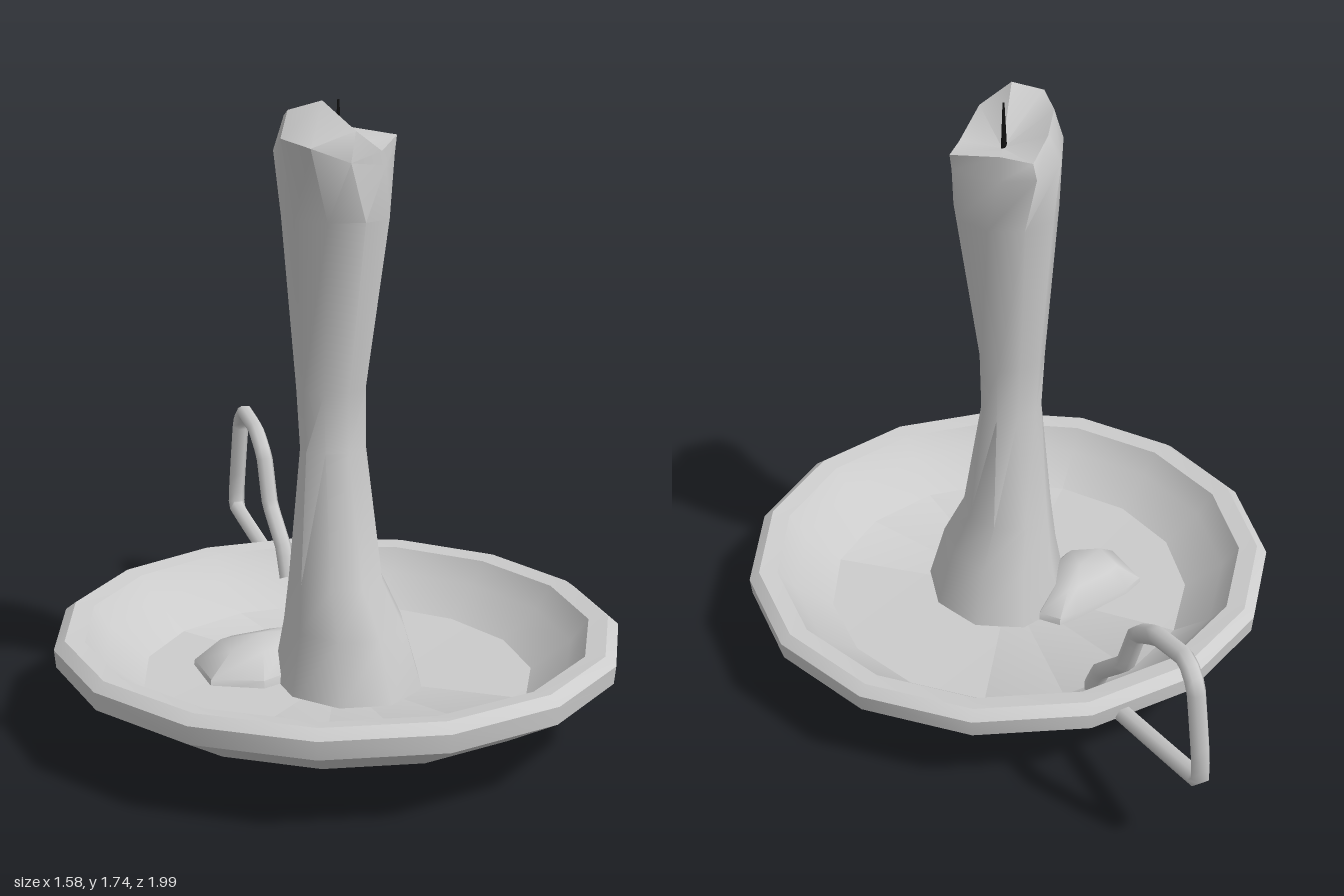
import * as THREE from 'three';
import { toCreasedNormals } from 'three/addons/utils/BufferGeometryUtils.js';

const grey = new THREE.MeshStandardMaterial({ color: 0xcccccc });
const black = new THREE.MeshStandardMaterial({ color: 0x111111 });
const CZ = 0.19; // centre of the dish along z

function add(group, name, geometry, material = grey) {
  const mesh = new THREE.Mesh(geometry, material);
  mesh.name = name;
  group.add(mesh);
  return mesh;
}

// Skin a stack of closed rings, each with the same number of [x, y, z] points
function loft(rings, crease) {
  const n = rings[0].length;
  const index = [];
  for (let i = 0; i < rings.length - 1; i++) {
    for (let j = 0; j < n; j++) {
      const a = i * n + j, b = i * n + (j + 1) % n;
      index.push(a, a + n, b, b, a + n, b + n);
    }
  }
  const geometry = new THREE.BufferGeometry();
  geometry.setAttribute('position', new THREE.Float32BufferAttribute(rings.flat(2), 3));
  geometry.setIndex(index);
  return toCreasedNormals(geometry, crease);
}

function ellipse(y, x0, x1, z0, z1, n) {
  return Array.from({ length: n }, (_, i) => {
    const a = (i / n) * Math.PI * 2;
    return [(x0 + x1) / 2 + Math.cos(a) * (x1 - x0) / 2, y, (z0 + z1) / 2 + Math.sin(a) * (z1 - z0) / 2];
  });
}

// Shallow dish with a rolled rim; its foot is longer front to back
function dishGeometry() {
  const profile = [
    [0, 0], [0.28, 0], [0.63, 0.115], [0.79, 0.21], [0.795, 0.26], [0.765, 0.283],
    [0.71, 0.275], [0.66, 0.21], [0.55, 0.13], [0, 0.11],
  ].map(([r, y]) => new THREE.Vector2(r, y));
  const geometry = new THREE.LatheGeometry(profile, 15);
  const p = geometry.attributes.position;
  for (let i = 0; i < p.count; i++) {
    const stretch = p.getY(i) < 0.01 ? 1.3 : 1.01;
    p.setZ(i, p.getZ(i) * stretch);
  }
  geometry.translate(0, 0, CZ);
  return toCreasedNormals(geometry, 0.6);
}

// Waisted candle with an uneven, melted top
function candleGeometry() {
  const n = 9;
  const sections = [
    [0.10, -0.19, 0.235, -0.02, 0.47],
    [0.29, -0.155, 0.18, 0.02, 0.42],
    [0.42, -0.14, 0.12, 0.06, 0.36],
    [0.78, -0.105, 0.085, 0.11, 0.26],
    [0.95, -0.115, 0.085, 0.10, 0.27],
    [1.42, -0.155, 0.14, 0.04, 0.35],
  ].map((s) => ellipse(...s, n));
  const shoulder = [
    [0.165, 1.58, 0.18], [0.10, 1.56, 0.28], [-0.04, 1.58, 0.39], [-0.15, 1.62, 0.39], [-0.2, 1.64, 0.30],
    [-0.18, 1.60, 0.18], [-0.11, 1.58, 0.07], [0.01, 1.59, -0.01], [0.09, 1.58, 0.05],
  ];
  const rim = [
    [0.175, 1.63, 0.17], [0.08, 1.60, 0.30], [-0.02, 1.66, 0.37], [-0.09, 1.735, 0.31], [-0.17, 1.71, 0.27],
    [-0.15, 1.69, 0.18], [-0.08, 1.66, 0.09], [0.01, 1.63, 0.01], [0.08, 1.645, 0.06],
  ];
  const pit = rim.map(() => [0, 1.60, 0.2]);
  return loft([...sections, shoulder, rim, pit], 0.8);
}

// Lump of wax lying beside the candle
function dripGeometry() {
  const outline = [
    [0, 0], [-0.1, 0.17], [-0.23, 0.23], [-0.37, 0.17], [-0.37, 0], [-0.3, -0.03], [-0.1, -0.06], [-0.04, -0.06],
  ];
  const ring = (y, k) => outline.map(([x, z]) => [-0.18 + (x + 0.18) * k, y, 0.06 + (z - 0.06) * k]);
  return loft([ring(0.1, 1), ring(0.14, 0.97), ring(0.2, 0.6), ring(0.22, 0)], 0.9);
}

// Bent loop handle running from inside the rim to the underside
function handleGeometry() {
  const points = [
    [0.065, 0.2, -0.43], [0.065, 0.29, -0.475], [0.06, 0.4, -0.59], [0.06, 0.54, -0.645],
    [0.065, 0.605, -0.745], [0.07, 0.635, -0.89], [0.075, 0.585, -0.945],
    [0.07, 0.38, -0.975], [0.065, 0.285, -0.965], [0.06, 0.21, -0.56],
  ].map((p) => new THREE.Vector3(...p));
  const curve = new THREE.CatmullRomCurve3(points, false, 'catmullrom', 0.12);
  return new THREE.TubeGeometry(curve, 44, 0.027, 6);
}

export function createModel() {
  const model = new THREE.Group();
  model.name = 'candleholder';
  add(model, 'dish', dishGeometry());
  add(model, 'candle', candleGeometry());
  add(model, 'waxDrip', dripGeometry());
  add(model, 'handle', handleGeometry());
  const wick = add(model, 'wick', new THREE.CylinderGeometry(0.003, 0.01, 0.14, 4), black);
  wick.position.set(-0.005, 1.66, 0.2);
  return model;
}
